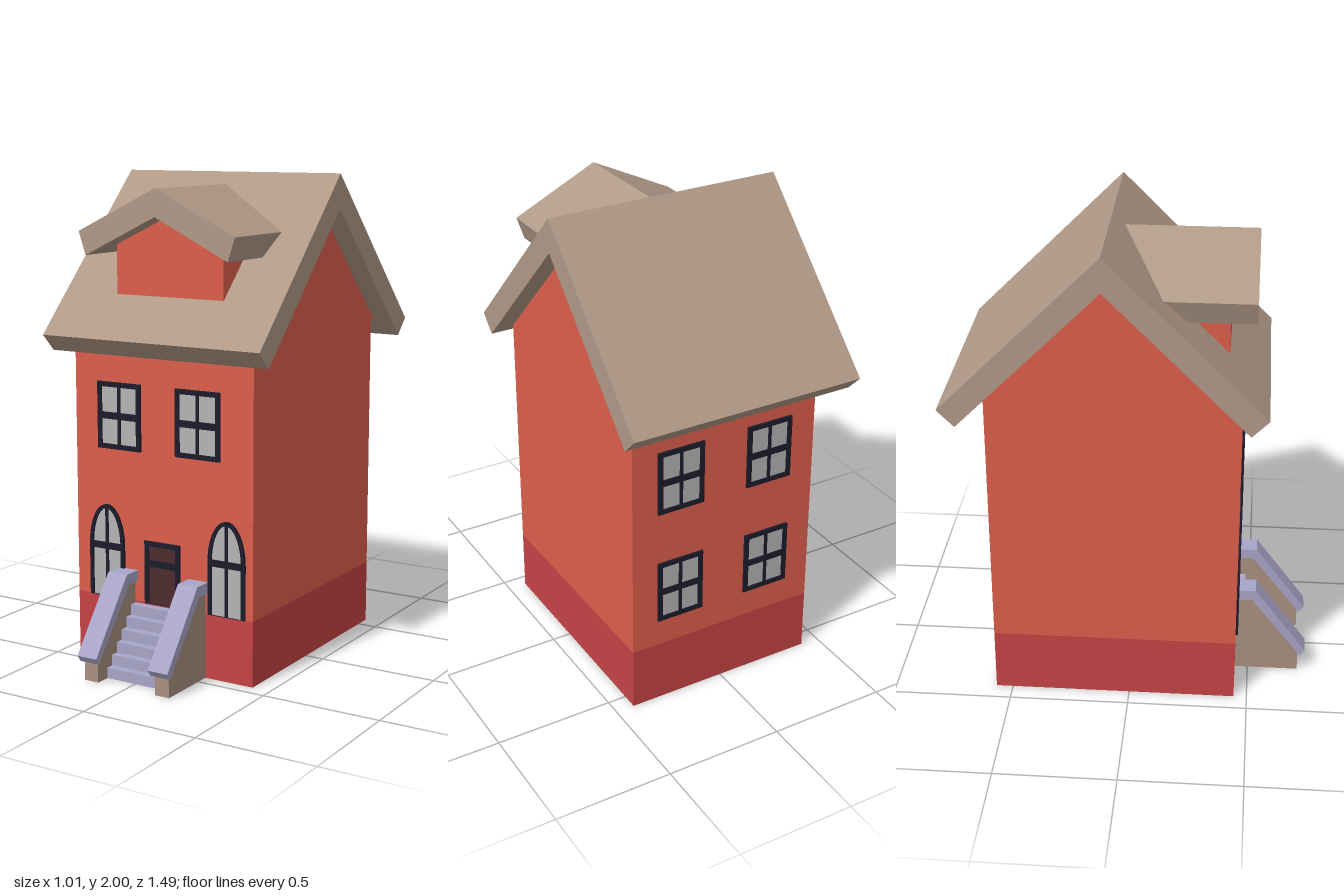
import * as THREE from 'three';

const mat = (color) => new THREE.MeshStandardMaterial({ color, flatShading: true });
const M = {
  wall: mat(0xdd5e4b), base: mat(0xc44345), roof: mat(0xb09987), frame: mat(0x1c1c2c),
  glass: mat(0xb4b4b4), door: mat(0x4c2a2c), stone: mat(0xa99080), step: mat(0xa8a5c8),
};

function add(parent, name, geometry, material) {
  const mesh = new THREE.Mesh(geometry, material);
  mesh.name = name;
  parent.add(mesh);
  return mesh;
}

// Box given by its low and high corners
function box(parent, name, material, x0, x1, y0, y1, z0, z1) {
  const g = new THREE.BoxGeometry(x1 - x0, y1 - y0, z1 - z0);
  g.translate((x0 + x1) / 2, (y0 + y1) / 2, (z0 + z1) / 2);
  return add(parent, name, g, material);
}

const polygon = (pts) => new THREE.Shape(pts.map(([a, b]) => new THREE.Vector2(a, b)));

const extrude = (shape, depth, z0) =>
  new THREE.ExtrudeGeometry(shape, { depth, bevelEnabled: false, curveSegments: 12 }).translate(0, 0, z0);

// Extrudes a (z, y) outline along x, from x0 to x1
const sideways = (pts, x0, x1) =>
  extrude(polygon(pts), x1 - x0, 0).rotateY(-Math.PI / 2).translate(x1, 0, 0);

// Rectangular opening, or one with an elliptical head
function opening(w, h, rise, y0 = 0) {
  const s = new THREE.Shape();
  s.moveTo(-w / 2, y0);
  s.lineTo(w / 2, y0);
  s.lineTo(w / 2, h - rise);
  if (rise) s.absellipse(0, h - rise, w / 2, rise, 0, Math.PI, false, 0);
  else s.lineTo(-w / 2, h);
  s.closePath();
  return s;
}

// Framed pane with bars, standing on y = 0 and facing +z
function framed(name, w, h, { rise = 0, sill = 0.02, edge = 0.02, pane = M.glass, barY, mullion = true }) {
  const g = new THREE.Group();
  g.name = name;
  const outer = opening(w, h, rise);
  const inner = opening(w - 2 * edge, h - edge, rise ? rise - edge : 0, sill);
  outer.holes.push(inner);
  add(g, 'frame', extrude(outer, 0.012, -0.002), M.frame);
  add(g, 'pane', extrude(opening(w - 2 * edge, h - edge, rise ? rise - edge : 0, sill), 0.006, -0.002), pane);
  box(g, 'crossbar', M.frame, -w / 2 + edge / 2, w / 2 - edge / 2, barY - 0.014, barY + 0.014, 0, 0.009);
  if (mullion) box(g, 'mullion', M.frame, -0.007, 0.007, 0, h - edge / 2, 0, 0.0085);
  return g;
}

function place(parent, part, x, y, z, back = false) {
  part.position.set(x, y, z);
  if (back) part.rotation.y = Math.PI;
  parent.add(part);
}

export function createModel() {
  const house = new THREE.Group();
  house.name = 'house';
  const front = 0.445, rear = -0.57, ridge = -0.095;

  // Plinth and gabled walls
  box(house, 'plinth', M.base, -0.42, 0.42, 0, 0.27, rear, front);
  add(house, 'walls', sideways([[front, 0.27], [front, 1.32], [ridge, 1.86], [-0.6, 1.355],
    [rear, 1.355], [rear, 0.27]].reverse(), -0.42, 0.42), M.wall);

  // Main roof, one folded slab
  add(house, 'roof', sideways([[ridge, 2], [0.55, 1.355], [0.48, 1.285], [ridge, 1.86],
    [-0.67, 1.285], [-0.74, 1.355]], -0.505, 0.505), M.roof);

  // Dormer running back into the main roof
  const dormer = new THREE.Group();
  dormer.name = 'dormer';
  house.add(dormer);
  add(dormer, 'dormerWalls', extrude(polygon([[-0.25, 1.52], [0.25, 1.52], [0.25, 1.72], [0, 1.84],
    [-0.25, 1.72]]), 0.42, -0.034), M.wall);
  add(dormer, 'dormerRoof', extrude(polygon([[0, 1.95], [-0.362, 1.775], [-0.33, 1.68], [0, 1.84],
    [0.33, 1.68], [0.362, 1.775]]), 0.56, -0.07), M.roof);

  // Rectangular windows
  const sash = () => framed('window', 0.207, 0.275, { barY: 0.137 });
  for (const x of [-0.204, 0.169]) place(house, sash(), x, 0.895, front);
  for (const x of [-0.204, 0.204])
    for (const y of [0.39, 0.895]) place(house, sash(), x, y, rear, true);

  // Arched windows and door
  for (const x of [-0.27, 0.302])
    place(house, framed('archedWindow', 0.17, 0.39, { rise: 0.17, sill: 0.001, edge: 0.017, barY: 0.215 }),
      x, 0.27, front);
  place(house, framed('door', 0.168, 0.262, { sill: 0.001, pane: M.door, barY: 0.17, mullion: false }),
    0, 0.27, front);

  // Front steps
  const stairs = new THREE.Group();
  stairs.name = 'stairs';
  house.add(stairs);
  const count = 6, rise = 0.262 / count, tread = 0.0345;
  const profile = [[front, 0]];
  for (let i = 0; i < count; i++) {
    const z = 0.652 - i * tread;
    profile.push([z, i * rise], [z, (i + 1) * rise]);
  }
  profile.push([front, count * rise]);
  add(stairs, 'steps', sideways(profile, -0.137, 0.137), M.step);

  // Side walls of the steps with sloping copings
  for (const s of [-1, 1]) {
    const cheek = [[front, 0], [0.715, 0], [0.715, 0.094], [0.51, 0.355], [front, 0.355]];
    const coping = [[0.725, 0.08], [0.745, 0.107], [0.525, 0.4], [front, 0.4], [front, 0.355], [0.51, 0.355]];
    add(stairs, 'stairWall', sideways(cheek, -0.0325, 0.0325), M.stone).position.x = s * 0.168;
    add(stairs, 'coping', sideways(coping, -0.0455, 0.0455), M.step).position.x = s * 0.168;
  }
  return house;
}
